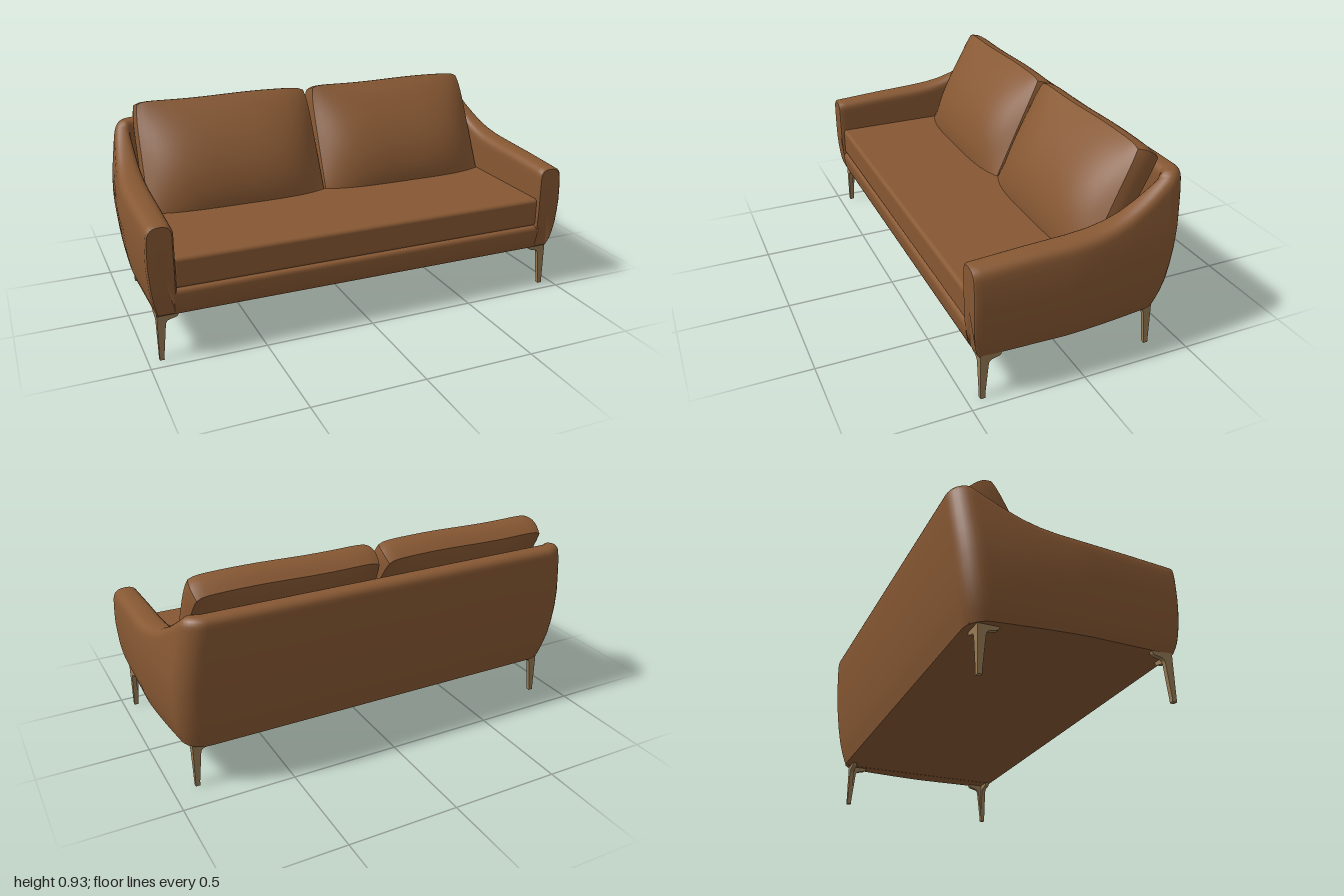
import * as THREE from 'three';
import { RoundedBoxGeometry } from 'three/addons/geometries/RoundedBoxGeometry.js';

const { lerp } = THREE.MathUtils;

// Piecewise-linear lookup in a short list of [key, value] pairs with rising keys
function table(list, k) {
  if (k <= list[0][0]) return list[0][1];
  for (let i = 1; i < list.length; i++) {
    const [a, va] = list[i - 1], [b, vb] = list[i];
    if (k <= b) return lerp(va, vb, (k - a) / (b - a));
  }
  return list[list.length - 1][1];
}

const BOTTOM = 0.205;
const sideX = [[0.205, 0.962], [0.25, 0.976], [0.32, 0.99], [0.45, 1], [0.55, 0.996], [0.62, 0.986], [0.72, 0.972], [0.82, 0.955]];
const frontZ = [[0.205, 0.455], [0.24, 0.468], [0.3, 0.476], [0.38, 0.48]];
const backZ = [[0.205, -0.4], [0.3, -0.425], [0.42, -0.445], [0.6, -0.466], [0.72, -0.475], [0.82, -0.478]];
const topY = [[-0.46, 0.815], [-0.42, 0.811], [-0.37, 0.784], [-0.33, 0.755], [-0.28, 0.724], [-0.2, 0.683],
  [-0.13, 0.659], [-0.05, 0.643], [0.05, 0.634], [0.25, 0.625], [0.48, 0.611]];

// Point on a U-shaped plan: straight arm (t), corner arc (a), back (w)
function plan(halfW, front, back, r, s) {
  return [(halfW - r + r * Math.cos(s.a)) * s.w, lerp(front, back + r, s.t) - r * Math.sin(s.a)];
}

// Cross-section of the wall at one station: outside, rounded top, inside, underside
function wallSection(s) {
  const top = table(topY, plan(0.98, 0.48, -0.475, 0.1, s)[1]);
  const taper = s.t < 0.5 ? 0.012 * (1 - 2 * s.t) : 0.03 * (2 * s.t - 1) ** 1.5;
  const at = (y, f) => {
    const o = plan(table(sideX, y) - taper, table(frontZ, y), table(backZ, y), 0.1, s);
    const n = plan(0.868, table(frontZ, y), -0.385, 0.03, s);
    return new THREE.Vector3(lerp(o[0], n[0], f), y, lerp(o[1], n[1], f));
  };
  const pts = [], r = 0.045, shoulder = top - r;
  const levels = [0, 0.06, 0.12, 0.22, 0.35, 0.5, 0.65, 0.8, 0.92].map(k => lerp(BOTTOM, shoulder, k));
  levels.forEach(y => pts.push(at(y, 0)));
  for (let i = 0; i <= 12; i++) {
    const q = Math.PI * i / 12, c = Math.cos(q);
    pts.push(at(shoulder + r * Math.sin(q) ** 0.8, (1 - Math.sign(c) * Math.abs(c) ** 0.8) / 2));
  }
  levels.reverse().forEach(y => pts.push(at(y, 1)));
  pts.push(at(BOTTOM, 1), at(BOTTOM, 0));
  if (s.inset) {
    const mid = at((top + BOTTOM) / 2, 0.5);
    pts.forEach(p => {
      p.x += (mid.x - p.x) * 0.12;
      p.y += (mid.y - p.y) * 0.03;
    });
  }
  return pts;
}

// Arms and back as one continuous swept wall with capped front ends
function shellGeometry() {
  const half = [{ t: 0, a: 0, w: 1, inset: true }, { t: 0.008, a: 0, w: 1 }];
  for (let i = 1; i <= 24; i++) half.push({ t: i / 24, a: 0, w: 1 });
  for (let i = 1; i <= 8; i++) half.push({ t: 1, a: Math.PI / 2 * i / 8, w: 1 });
  for (const w of [0.75, 0.5, 0.25]) half.push({ t: 1, a: Math.PI / 2, w });
  const rings = half.map(wallSection);
  const mirrored = rings.map(ring => ring.map(p => new THREE.Vector3(-p.x, p.y, p.z))).reverse();
  const all = rings.concat(mirrored), n = all[0].length;
  const pos = [], idx = [];
  all.forEach(ring => ring.forEach(p => pos.push(p.x, p.y, p.z)));
  for (let i = 0; i < all.length - 1; i++) {
    for (let j = 0; j < n - 1; j++) {
      const a = i * n + j, b = a + n;
      idx.push(a, b, a + 1, b, b + 1, a + 1);
    }
  }
  [all[0], all[all.length - 1]].forEach((ring, end) => {
    const c = pos.length / 3;
    const mid = ring.reduce((m, p) => m.add(p), new THREE.Vector3()).divideScalar(n);
    pos.push(mid.x, 0.42, 0.48);
    ring.forEach(p => pos.push(p.x, p.y, p.z));
    for (let j = 1; j < n; j++) idx.push(c, end ? c + j + 1 : c + j, end ? c + j : c + j + 1);
  });
  const g = new THREE.BufferGeometry();
  g.setAttribute('position', new THREE.Float32BufferAttribute(pos, 3));
  g.setIndex(idx);
  g.computeVertexNormals();
  return g;
}

// Move every vertex of a geometry by a rule
function deform(g, rule) {
  const p = g.attributes.position, v = new THREE.Vector3();
  for (let i = 0; i < p.count; i++) {
    rule(v.fromBufferAttribute(p, i));
    p.setXYZ(i, v.x, v.y, v.z);
  }
  g.computeVertexNormals();
  return g;
}

// Leaning, pillowed back cushion with crisp seams
function backCushionGeometry() {
  return deform(new THREE.BoxGeometry(2, 1, 1, 28, 18, 6), p => {
    const u = p.x, v = p.y + 0.5, d = 0.5 - p.z;
    const across = 1 - Math.abs(u) ** 4;
    const puff = Math.sin(Math.PI * (0.1 + 0.9 * v)) ** 0.75;
    const round = Math.abs(u) ** 14;
    const seamZ = -0.055 - 0.222 * v;
    const sidePuff = 0.008 * Math.sin(Math.PI * d) * u;
    p.x = 0.432 + u * (0.427 - 0.008 * v - 0.012 * round * v ** 10) + sidePuff;
    p.y = 0.45 + 0.474 * v - 0.055 * d * v - 0.014 * round * v ** 6
      + 0.012 * Math.sin(Math.PI * d) * v ** 4 + 0.003 * Math.sin(u * 4) * v ** 4;
    p.z = seamZ - 0.1 * d + (1 - d) * 0.1 * across * puff - d * 0.045 * across * puff;
  });
}

// One tapered plate of a leg, with its mounting bracket
function legPlateGeometry() {
  const s = new THREE.Shape();
  s.moveTo(0, 0);
  s.lineTo(0.018, 0);
  s.lineTo(0.035, 0.16);
  s.quadraticCurveTo(0.037, 0.178, 0.052, 0.182);
  s.lineTo(0.078, 0.188);
  s.quadraticCurveTo(0.092, 0.192, 0.091, 0.208);
  s.lineTo(0, 0.208);
  return new THREE.ExtrudeGeometry(s, { depth: 0.02, bevelEnabled: false, curveSegments: 5 });
}

export function createModel() {
  const sofa = new THREE.Group();
  sofa.name = 'sofa';
  const leather = new THREE.MeshStandardMaterial({ color: 0x875833 });
  leather.name = 'brown leather';
  const wood = new THREE.MeshStandardMaterial({ color: 0x977a54 });
  wood.name = 'light wood';
  const add = (name, geometry, material, parent = sofa) => {
    const m = new THREE.Mesh(geometry, material);
    m.name = name;
    parent.add(m);
    return m;
  };

  add('armsAndBack', shellGeometry(), leather);

  // Base with a rounded front rail, filling the space between the arms
  const profile = new THREE.Shape();
  profile.moveTo(-0.39, 0.206);
  profile.lineTo(0.453, 0.206);
  profile.quadraticCurveTo(0.472, 0.235, 0.475, 0.3);
  profile.quadraticCurveTo(0.475, 0.322, 0.455, 0.323);
  profile.lineTo(-0.39, 0.323);
  const base = new THREE.ExtrudeGeometry(profile, { depth: 1.76, bevelEnabled: false, curveSegments: 8 });
  base.rotateY(-Math.PI / 2).translate(0.88, 0, 0);
  add('baseFrame', base, leather);

  // Seat cushion
  const seat = new RoundedBoxGeometry(1.756, 0.136, 0.855, 4, 0.018);
  seat.translate(0, 0.391, 0.041);
  add('seatCushion', seat, leather);

  // Pair of back cushions
  const cushion = backCushionGeometry();
  add('leftBackCushion', cushion, leather);
  add('rightBackCushion', cushion.clone().rotateY(0), leather).geometry = deform(backCushionGeometry(), p => { p.x -= 0.864; });

  // Legs: two plates meeting at the outer corner
  const plate = legPlateGeometry();
  for (const [end, x, z, facing] of [['front', 0.952, 0.445, 1], ['rear', 0.902, -0.367, -1]]) {
    for (const side of [1, -1]) {
      const leg = new THREE.Group();
      leg.name = end + (side > 0 ? 'LeftLeg' : 'RightLeg');
      const inX = -side, inZ = -facing;
      const along = add('sidewaysPlate', plate, wood, leg);
      along.rotation.y = inX > 0 ? 0 : Math.PI;
      along.position.z = inX > 0 ? (inZ > 0 ? 0 : -0.02) : (inZ > 0 ? 0.02 : 0);
      const deep = add('lengthwisePlate', plate, wood, leg);
      deep.rotation.y = inZ > 0 ? -Math.PI / 2 : Math.PI / 2;
      deep.position.x = inZ > 0 ? (inX > 0 ? 0.02 : 0) : (inX > 0 ? 0 : -0.02);
      leg.position.set(side * x, 0, z);
      sofa.add(leg);
    }
  }
  return sofa;
}
